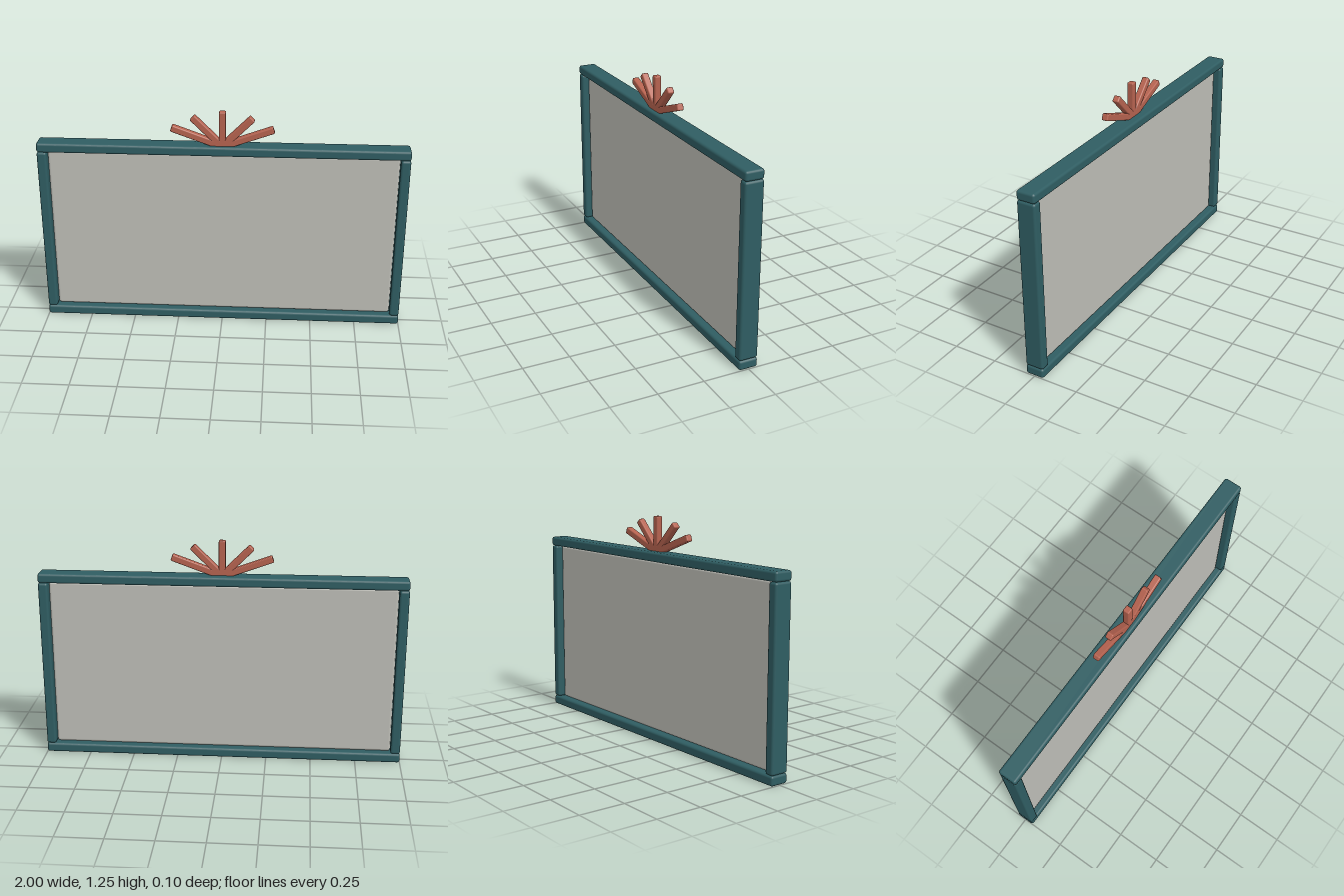
import * as THREE from 'three';
import { RoundedBoxGeometry } from 'three/addons/geometries/RoundedBoxGeometry.js';

export function createModel() {
  const model = new THREE.Group();
  model.name = 'framedPanel';

  const material = (name, color) => {
    const m = new THREE.MeshStandardMaterial({ color });
    m.name = name;
    return m;
  };
  const teal = material('teal', 0x2f5d62);
  const grey = material('pale grey', 0xbdbdb6);
  const copper = material('terracotta', 0xb5624f);

  const box = (name, mat, w, h, d, radius, x, y, z) => {
    const mesh = new THREE.Mesh(new RoundedBoxGeometry(w, h, d, 2, radius), mat);
    mesh.name = name;
    mesh.position.set(x, y, z);
    model.add(mesh);
    return mesh;
  };

  // Frame: two full-width rails with posts between them
  const bar = 0.053, depth = 0.104, height = 1.055;
  const postHeight = height - 2 * bar;
  box('bottomRail', teal, 2, bar, depth, 0.013, 0, bar / 2, 0);
  box('topRail', teal, 2, bar, depth, 0.013, 0, height - bar / 2, 0);
  for (const side of [1, -1]) {
    box(side > 0 ? 'leftPost' : 'rightPost', teal,
      bar, postHeight, depth, 0.013, side * (1 - bar / 2), height / 2, 0);
  }

  // Thin panel recessed on both faces
  box('panel', grey, 2 - 2 * bar, postHeight, 0.03, 0.0145, 0, height / 2, 0);

  // Fan of rays on the top rail: [angle from vertical in degrees, length]
  const rays = [[-70, 0.29], [-45, 0.226], [0, 0.195], [45, 0.226], [70, 0.29]];
  rays.forEach(([degrees, length], i) => {
    const a = THREE.MathUtils.degToRad(degrees);
    const ray = box(`ray${i + 1}`, copper, 0.037, length, 0.037, 0.007,
      Math.sin(a) * length / 2, 1.05 + Math.cos(a) * length / 2, 0.011);
    ray.rotation.z = -a;
  });

  return model;
}
